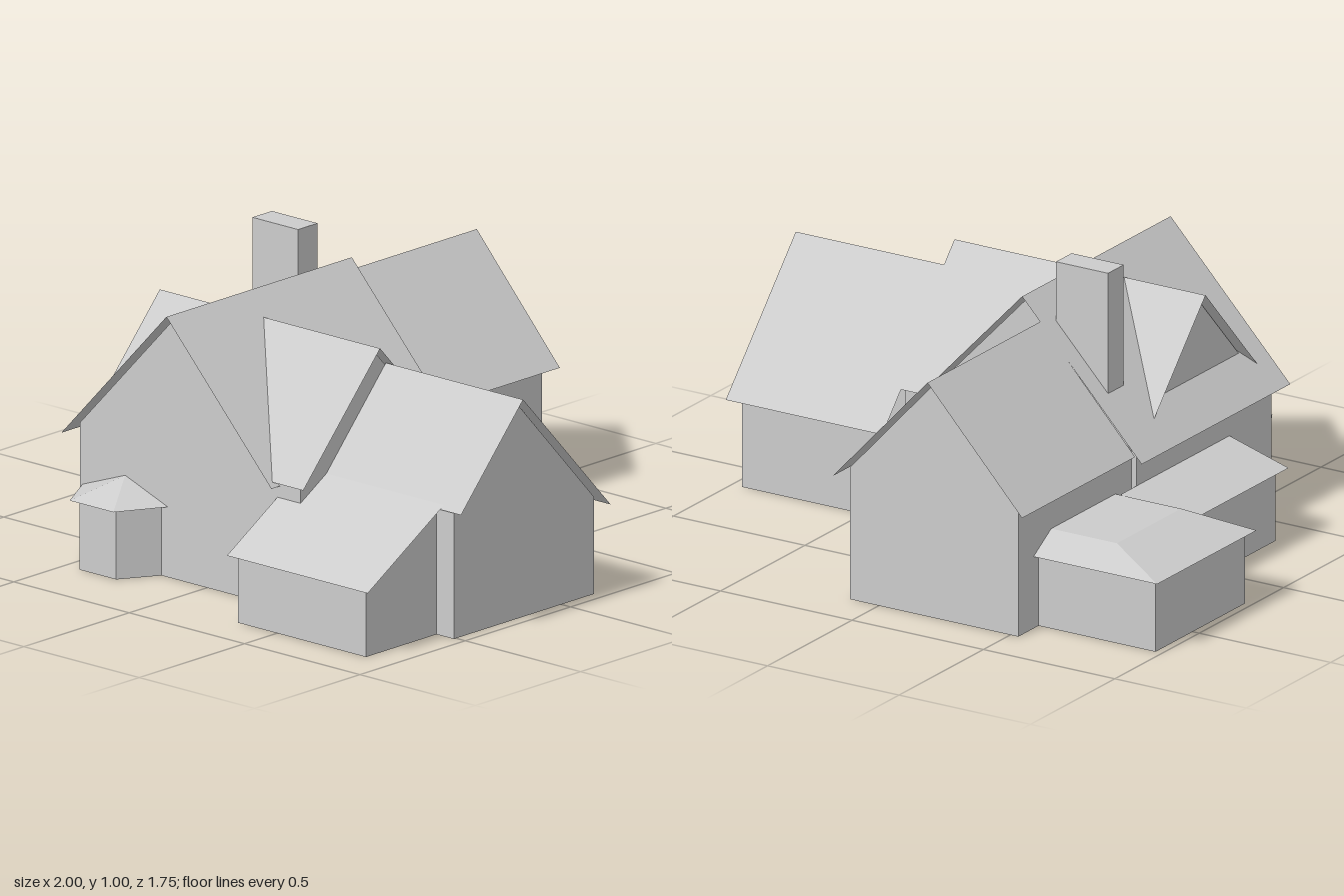
import * as THREE from 'three';

const material = new THREE.MeshStandardMaterial({ color: 0xcccccc, side: THREE.DoubleSide, flatShading: true });

// Thin sheet made of convex polygons, each a list of [x, y, z] corners
function sheet(name, polygons) {
  const points = [];
  for (const p of polygons)
    for (let i = 1; i < p.length - 1; i++) points.push(...p[0], ...p[i], ...p[i + 1]);
  const geometry = new THREE.BufferGeometry();
  geometry.setAttribute('position', new THREE.Float32BufferAttribute(points, 3));
  geometry.computeVertexNormals();
  const mesh = new THREE.Mesh(geometry, material);
  mesh.name = name;
  return mesh;
}

// Maps (across, height, along) to world axes for a ridge running along x or z
const along = (axis) => (u, y, v) => (axis === 'z' ? [u, y, v] : [v, y, u]);

// Gable roof: profile of [across, height] points swept from a to b
function roof(name, axis, profile, a, b) {
  const at = along(axis);
  return sheet(name, profile.slice(1).map(([u, y], i) => {
    const [u0, y0] = profile[i];
    return [at(u0, y0, a), at(u0, y0, b), at(u, y, b), at(u, y, a)];
  }));
}

// Side walls under a profile, with end walls at each position in ends
function walls(name, axis, profile, a, b, ends) {
  const at = along(axis);
  const first = profile[0], last = profile[profile.length - 1];
  const polygons = [first, last].map(([u, y]) => [at(u, 0, a), at(u, 0, b), at(u, y, b), at(u, y, a)]);
  for (const v of ends)
    polygons.push([at(first[0], 0, v), ...profile.map(([u, y]) => at(u, y, v)), at(last[0], 0, v)]);
  return sheet(name, polygons);
}

// Upright walls of constant height along a plan path of [x, z] points
function fence(name, path, height) {
  return sheet(name, path.slice(1).map(([x, z], i) => {
    const [x0, z0] = path[i];
    return [[x0, 0, z0], [x, 0, z], [x, height, z], [x0, height, z0]];
  }));
}

export function createModel() {
  const house = new THREE.Group();
  house.name = 'house';

  // Main block
  house.add(
    walls('mainWalls', 'z', [[-0.55, 0.44], [-0.14, 0.873], [0.27, 0.44]], -0.17, 0.63, [-0.17, 0.63]),
    roof('mainRoof', 'z', [[-0.595, 0.405], [-0.14, 0.887], [0.315, 0.405]], -0.21, 0.67));

  // Rear wing
  house.add(
    walls('rearWingWalls', 'z', [[-0.53, 0.45], [-0.21, 0.798], [0.11, 0.45]], -0.84, -0.17, [-0.84]),
    roof('rearWingRoof', 'z', [[-0.57, 0.425], [-0.21, 0.815], [0.15, 0.425]], -0.88, -0.21));

  // Cross gable on the left side of the model, cut along the main roof
  const cz = 0.285;
  const crossRoof = [], dormerRoof = [];
  for (const s of [-1, 1]) {
    crossRoof.push([[-0.07, 0.813, cz], [0.435, 0.813, cz], [0.435, 0.42, cz + s * 0.365], [0.3, 0.42, cz + s * 0.365]]);
    dormerRoof.push([[-0.21, 0.813, cz], [-0.52, 0.813, cz], [-0.52, 0.485, cz + s * 0.305]]);
  }
  house.add(
    sheet('crossGableRoof', crossRoof),
    walls('crossGableWalls', 'x', [[-0.055, 0.435], [cz, 0.8], [0.63, 0.435]], 0.27, 0.405, [0.405]));

  // Dormer on the opposite slope
  house.add(
    sheet('dormerRoof', dormerRoof),
    sheet('dormerFace', [[[-0.48, 0.525, cz - 0.26], [-0.48, 0.803, cz], [-0.48, 0.525, cz + 0.26]]]));

  // Side wing with unequal eaves
  house.add(
    walls('sideWingWalls', 'x', [[-0.155, 0.325], [0.225, 0.735], [0.51, 0.43]], 0.405, 0.96, [0.96]),
    roof('sideWingRoof', 'x', [[-0.19, 0.3], [0.225, 0.745], [0.52, 0.425]], 0.405, 1));

  // Lean-to in front of the side wing
  house.add(
    roof('leanToRoof', 'x', [[0.505, 0.44], [0.87, 0.225]], 0.305, 0.915),
    walls('leanToWalls', 'x', [[0.51, 0.43], [0.845, 0.237]], 0.33, 0.885, [0.33, 0.885]));

  // Low shed along the side of the main block
  house.add(
    roof('shedRoof', 'z', [[-0.775, 0.245], [-0.55, 0.31]], -0.265, 0.38),
    walls('shedWalls', 'z', [[-0.745, 0.25], [-0.55, 0.305]], -0.19, 0.35, [0.35]));

  // Low hipped annex
  const e = 0.245, t = 0.308;
  house.add(
    sheet('annexRoof', [
      [[-1, e, -0.75], [-1, e, -0.16], [-0.78, t, -0.265], [-0.78, t, -0.645]],
      [[-1, e, -0.16], [-0.55, e, -0.16], [-0.55, t, -0.265], [-0.78, t, -0.265]],
      [[-1, e, -0.75], [-0.78, t, -0.645], [-0.53, t, -0.645], [-0.53, e, -0.75]],
      [[-0.78, t, -0.645], [-0.78, t, -0.265], [-0.53, t, -0.265], [-0.53, t, -0.645]],
    ]),
    fence('annexWalls', [[-0.53, -0.72], [-0.975, -0.72], [-0.975, -0.19], [-0.53, -0.19]], 0.25));

  // Bay window
  const eave = [[-0.54, 0.63], [-0.45, 0.79], [-0.26, 0.79], [-0.17, 0.63]];
  house.add(
    sheet('bayRoof', eave.slice(1).map(([x, z], i) =>
      [[eave[i][0], 0.235, eave[i][1]], [x, 0.235, z], [-0.355, 0.303, 0.63]])),
    fence('bayWalls', [[-0.512, 0.63], [-0.434, 0.76], [-0.276, 0.76], [-0.198, 0.63]], 0.24));

  // Chimney
  const chimney = new THREE.Mesh(new THREE.BoxGeometry(0.198, 0.44, 0.093), material);
  chimney.position.set(-0.322, 0.78, -0.092);
  chimney.name = 'chimney';
  house.add(chimney);

  return house;
}
